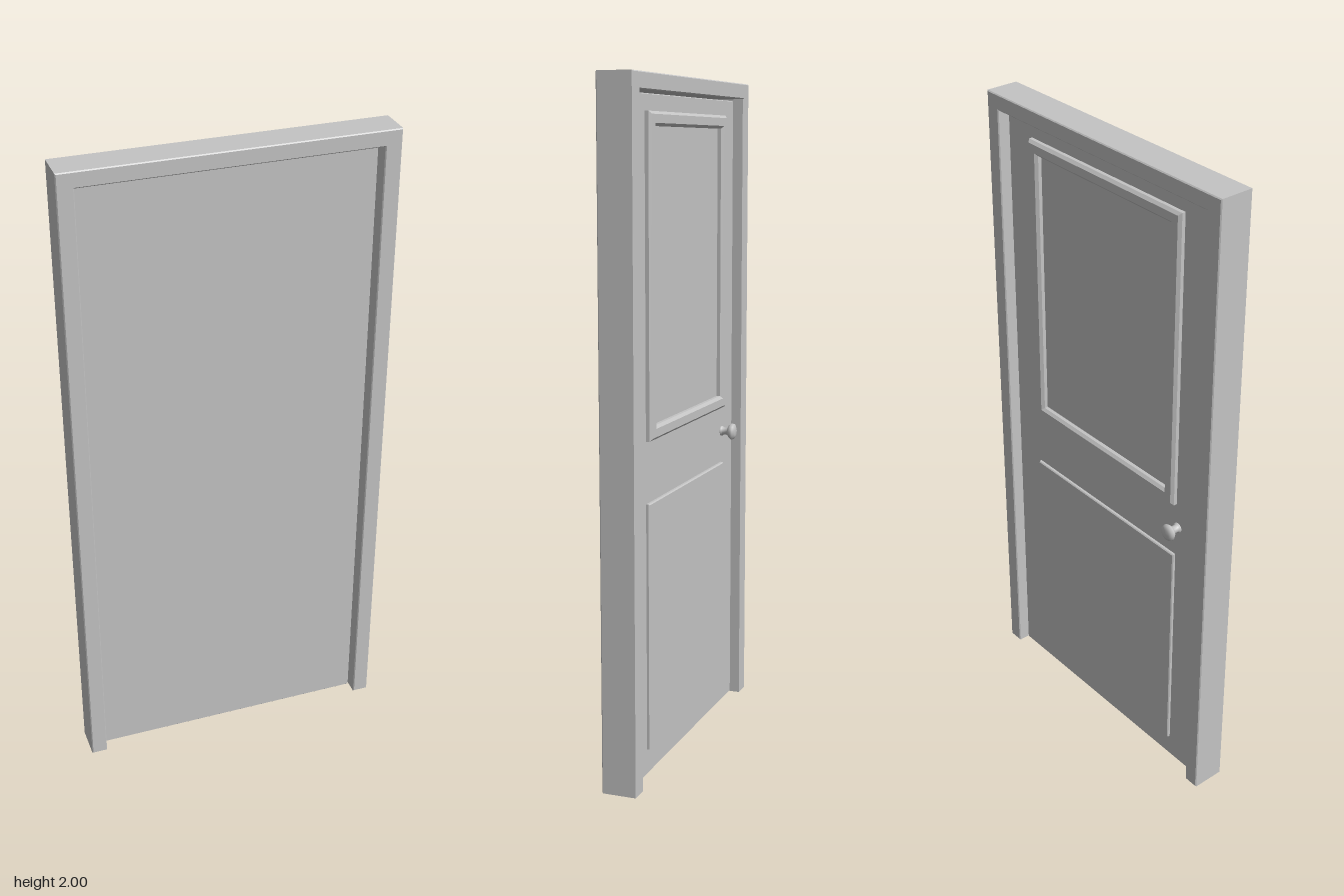
import * as THREE from 'three';

// Closed outline from corner points
const outline = (Type, pts) => new Type(pts.map(([x, y]) => new THREE.Vector2(x, y)));
const rect = (Type, x, y0, y1) => outline(Type, [[-x, y0], [x, y0], [x, y1], [-x, y1]]);

// Bevelled slab between two depths, keeping the outline as its largest size
function slab(shape, z0, z1, bevel) {
  const geo = new THREE.ExtrudeGeometry(shape, {
    depth: z1 - z0 - 2 * bevel, bevelEnabled: true, bevelSegments: 1,
    bevelSize: bevel, bevelThickness: bevel, bevelOffset: -bevel,
  });
  return geo.translate(0, 0, z0 + bevel);
}

export function createModel() {
  const group = new THREE.Group();
  const grey = new THREE.MeshStandardMaterial({ color: 0xc4c4c4 });
  grey.name = 'plain grey';
  const add = (name, geo) => {
    const mesh = new THREE.Mesh(geo, grey);
    mesh.name = name;
    group.add(mesh);
    return mesh;
  };

  // Surround: two jambs and a head in one piece, open at the floor
  const surround = outline(THREE.Shape, [
    [-0.482, 0], [-0.433, 0], [-0.433, 1.953], [0.433, 1.953],
    [0.433, 0], [0.482, 0], [0.482, 2], [-0.482, 2],
  ]);
  add('doorFrame', slab(surround, -0.046, 0.06, 0.003));

  // Door leaf, set back from both faces of the surround
  add('doorLeaf', slab(rect(THREE.Shape, 0.428, 0.004, 1.947), -0.013, 0.024, 0.002));

  // Raised lower panel on the back
  add('lowerPanel', slab(rect(THREE.Shape, 0.32, 0.08, 0.81), -0.023, -0.001, 0.003));

  // Moulding around the upper panel
  const moulding = rect(THREE.Shape, 0.32, 0.99, 1.9);
  moulding.holes.push(rect(THREE.Path, 0.28, 1.03, 1.86));
  add('upperMoulding', slab(moulding, -0.032, -0.001, 0.008));

  // Knob with a narrow neck, turned around the z axis
  const profile = [
    [0.016, 0], [0.016, 0.004], [0.012, 0.007], [0.012, 0.022],
    [0.02, 0.027], [0.026, 0.035], [0.024, 0.043], [0.013, 0.048], [0, 0.048],
  ].map(([r, h]) => new THREE.Vector2(r, h));
  const knob = add('knob', new THREE.LatheGeometry(profile, 16).rotateX(-Math.PI / 2));
  knob.position.set(-0.327, 0.91, -0.013);

  return group;
}
